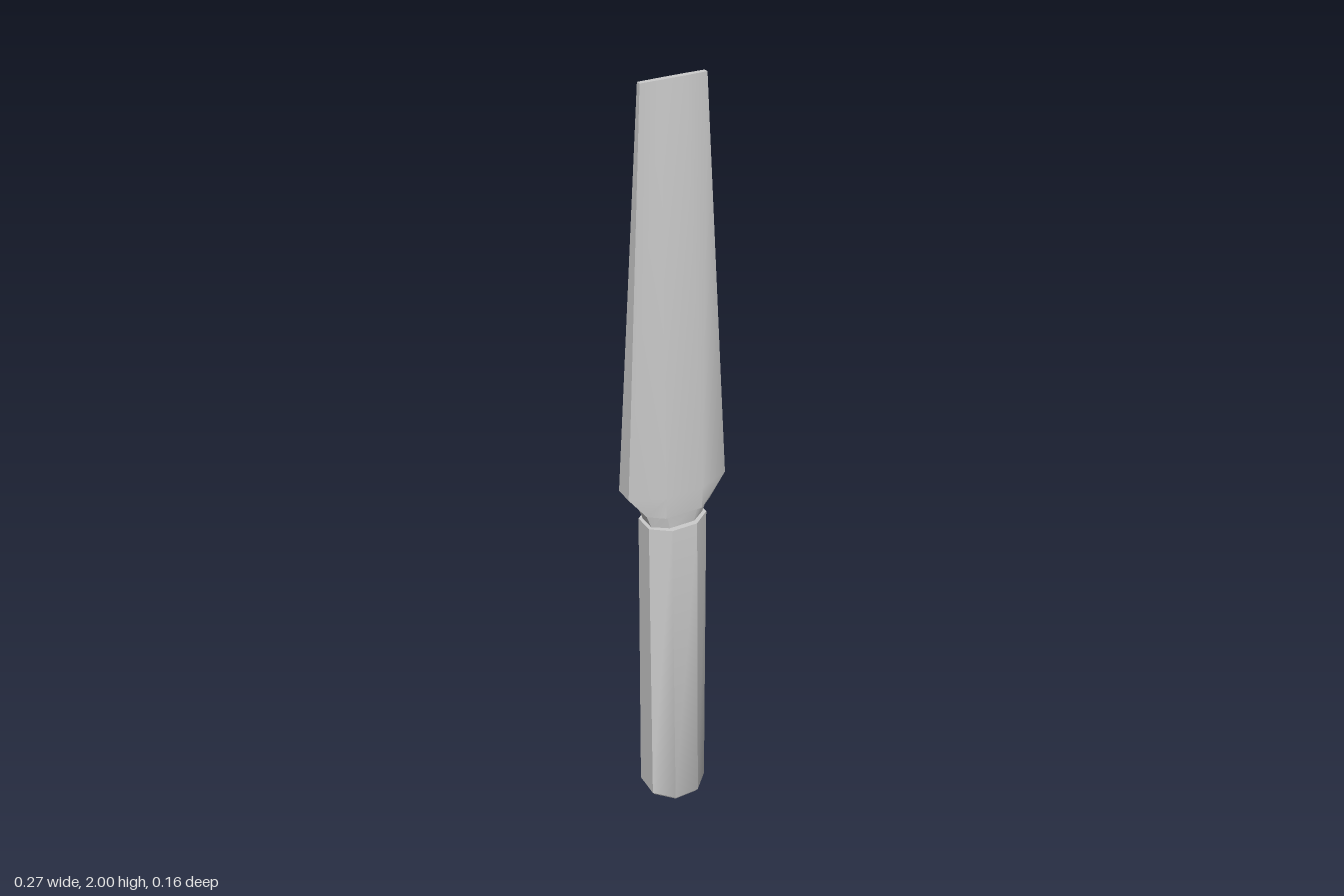
import * as THREE from 'three';
import { toCreasedNormals } from 'three/addons/utils/BufferGeometryUtils.js';

// Eight-sided cross-section: side corners at (±x, ±sz), face corners at (±fx, ±z)
function ring({ y, x, sz, fx, z }) {
  return [[x, sz], [fx, z], [-fx, z], [-x, sz], [-x, -sz], [-fx, -z], [fx, -z], [x, -sz]]
    .map(([px, pz]) => [px, y, pz]);
}

// Closed, capped skin through sections listed from bottom to top
function loft(sections) {
  const n = 8, last = (sections.length - 1) * n;
  const index = [];
  for (let base = 0; base < last; base += n) {
    for (let j = 0; j < n; j++) {
      const a = base + j, b = base + (j + 1) % n;
      index.push(a, a + n, b, b, a + n, b + n);
    }
  }
  for (let j = 1; j < n - 1; j++) {
    index.push(0, j, j + 1);
    index.push(last, last + j + 1, last + j);
  }
  const geometry = new THREE.BufferGeometry();
  geometry.setAttribute('position', new THREE.Float32BufferAttribute(sections.flatMap(ring).flat(), 3));
  geometry.setIndex(index);
  return toCreasedNormals(geometry, 0.6);
}

export function createModel() {
  const group = new THREE.Group();
  const material = new THREE.MeshStandardMaterial({ color: 0xcccccc });
  const add = (name, sections) => {
    const mesh = new THREE.Mesh(loft(sections), material);
    mesh.name = name;
    group.add(mesh);
  };

  // Octagonal grip, thinning front to back towards the top
  add('handle', [
    { y: 0, x: 0.074, sz: 0.032, fx: 0.032, z: 0.075 },
    { y: 0.01, x: 0.081, sz: 0.035, fx: 0.035, z: 0.081 },
    { y: 0.89, x: 0.081, sz: 0.027, fx: 0.035, z: 0.062 },
  ]);

  // Short flared neck
  add('neck', [
    { y: 0.885, x: 0.07, sz: 0.022, fx: 0.033, z: 0.048 },
    { y: 0.94, x: 0.09, sz: 0.024, fx: 0.045, z: 0.05 },
  ]);

  // Wide blade with chamfered shoulders, tapering to a thin flat tip
  add('blade', [
    { y: 0.93, x: 0.088, sz: 0.03, fx: 0.05, z: 0.059 },
    { y: 0.99, x: 0.134, sz: 0.025, fx: 0.05, z: 0.061 },
    { y: 2, x: 0.081, sz: 0.006, fx: 0.03, z: 0.007 },
  ]);

  return group;
}
